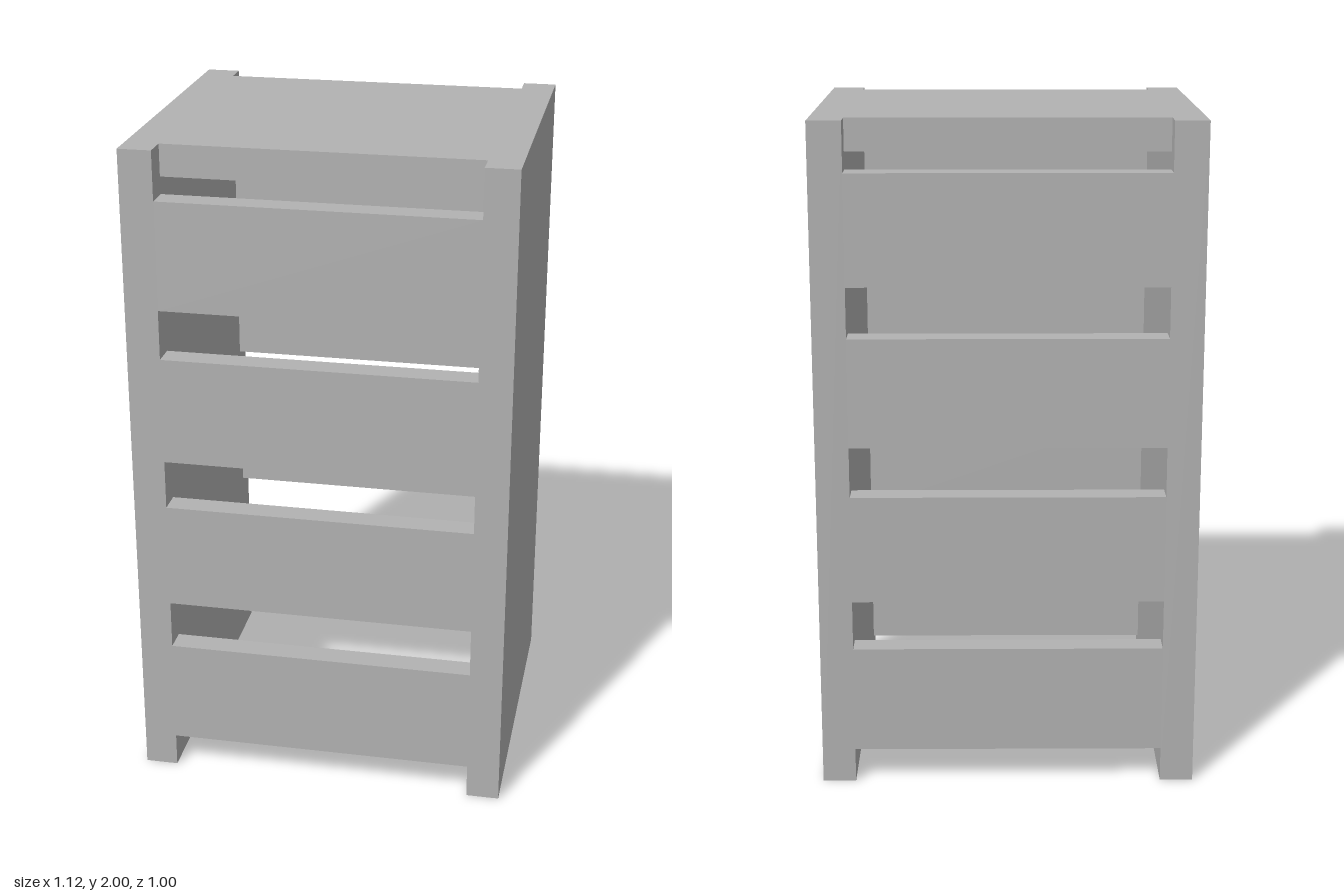
import * as THREE from 'three';

export function createModel() {
  const group = new THREE.Group();
  group.name = 'slattedRack';
  const grey = new THREE.MeshStandardMaterial({ color: 0xb2b2b2 });
  grey.name = 'plain grey';

  const addBoard = (name, w, h, d, x, y, z) => {
    const mesh = new THREE.Mesh(new THREE.BoxGeometry(w, h, d), grey);
    mesh.name = name;
    mesh.position.set(x, y, z);
    group.add(mesh);
  };

  const outer = 0.5625, inner = 0.4635, depth = 1, board = 0.075;
  const thick = outer - inner;

  // Full-height side panels
  for (const [side, s] of [['left', 1], ['right', -1]]) {
    addBoard(`${side}SidePanel`, thick, 2, depth, s * (outer + inner) / 2, 1, 0);
  }

  // Top panel, set back from the front and back edges
  addBoard('topPanel', inner * 2, 0.095, depth - 2 * board, 0, 1.9525, 0);

  // Four evenly spaced slats on the front and the back
  const slatHeight = 0.325, firstSlat = 0.104, pitch = 0.475;
  for (const [face, s] of [['front', 1], ['back', -1]]) {
    for (let i = 0; i < 4; i++) {
      addBoard(`${face}Slat${i + 1}`, inner * 2, slatHeight, board,
        0, firstSlat + slatHeight / 2 + i * pitch, s * (depth - board) / 2);
    }
  }
  return group;
}
